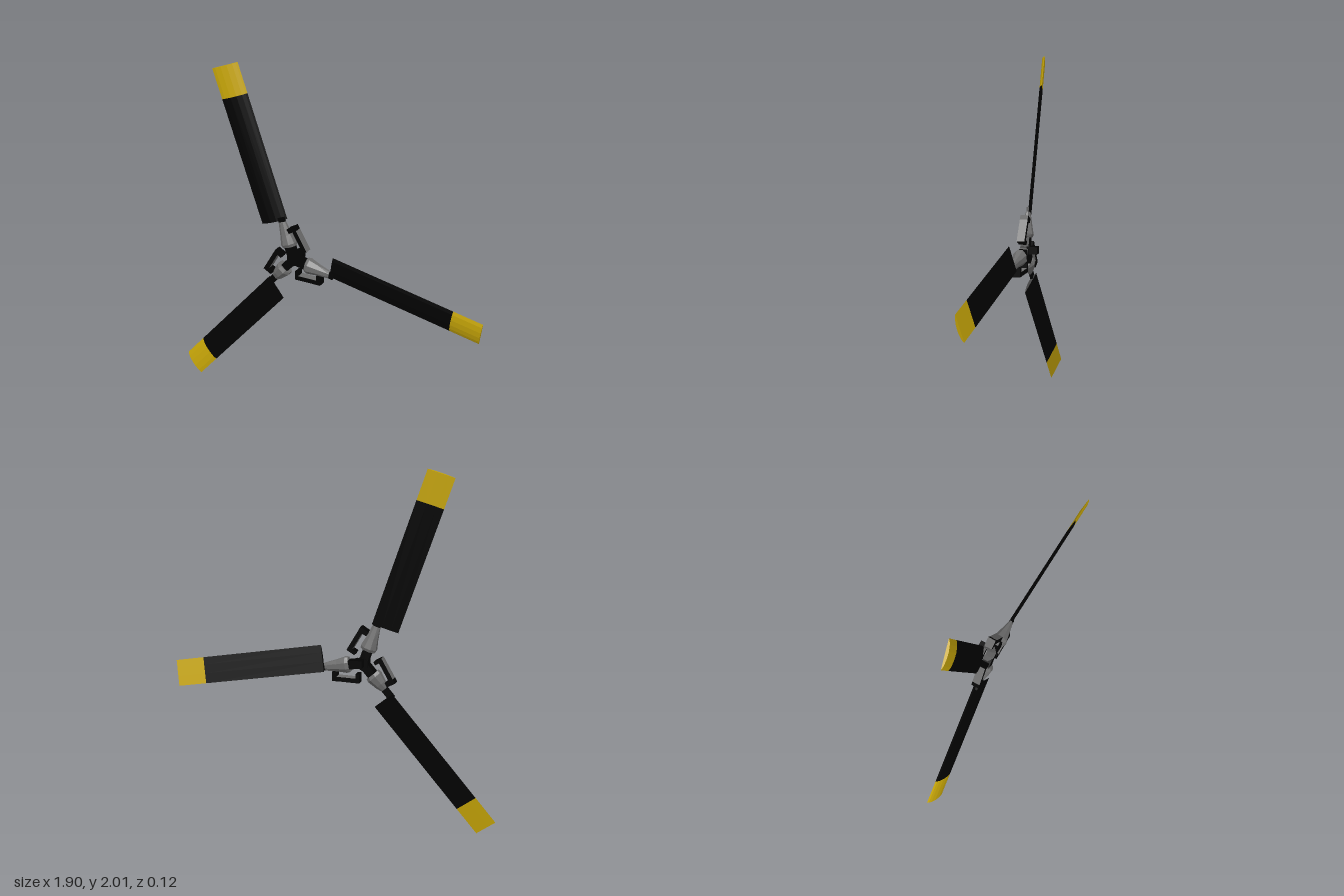
import * as THREE from 'three';

const black = new THREE.MeshStandardMaterial({ name: 'black', color: 0x020202 });
const grey = new THREE.MeshStandardMaterial({ name: 'steel grey', color: 0x6c6c6c });
const yellow = new THREE.MeshStandardMaterial({ name: 'tip yellow', color: 0xc6a508 });

function add(parent, name, geometry, material, x = 0, y = 0, z = 0) {
  const mesh = new THREE.Mesh(geometry, material);
  mesh.name = name;
  mesh.position.set(x, y, z);
  parent.add(mesh);
  return mesh;
}
const box = (x, y, z) => new THREE.BoxGeometry(x, y, z);

// Cambered blade section (chord, height), extruded outwards along +x
function bladePiece(from, to) {
  const shape = new THREE.Shape([
    [-0.025, 0], [0.03, 0.013], [0.08, 0.025], [0.121, 0.035],
    [0.1, 0.038], [0.065, 0.036], [0.03, 0.029], [0, 0.018], [-0.018, 0.008],
  ].map(([x, y]) => new THREE.Vector2(x, y)));
  const geometry = new THREE.ExtrudeGeometry(shape, { depth: to - from, bevelEnabled: false });
  geometry.applyMatrix4(new THREE.Matrix4().makeBasis(
    new THREE.Vector3(0, 1, 0), new THREE.Vector3(0, 0, 1), new THREE.Vector3(1, 0, 0)));
  return geometry.translate(from, 0, 0);
}

// Faceted grip: rings of [distance, half width, half depth]
function gripGeometry(end) {
  const rings = [[0.08, 0.041, 0.03], [0.098, 0.044, 0.039], [0.15, 0.033, 0.027], [end, 0.022, 0.011]];
  const geometry = new THREE.CylinderGeometry(1, 1, 3, 8, 3);
  geometry.rotateY(Math.PI / 8).rotateZ(-Math.PI / 2);
  const p = geometry.attributes.position;
  for (let i = 0; i < p.count; i++) {
    const [x, width, depth] = rings[Math.round(p.getX(i) + 1.5)];
    p.setXYZ(i, x, p.getY(i) * width * 1.08, p.getZ(i) * depth * 1.08);
  }
  const flat = geometry.toNonIndexed();
  flat.computeVertexNormals();
  return flat;
}

// C-shaped damper bracket beside each grip: black ends, grey long sides
function damper() {
  const group = new THREE.Group();
  group.name = 'damper';
  add(group, 'damperBar', box(0.131, 0.026, 0.045), [black, black, grey, grey, black, black], -0.013, -0.013, 0);
  add(group, 'damperOuterLug', box(0.026, 0.053, 0.045), black, 0.0655, 0, 0);
  add(group, 'damperInnerLug', box(0.02, 0.026, 0.045), black, -0.0685, 0.013, 0);
  group.position.set(0.111, -0.068, 0.018);
  group.rotation.z = 0.197;
  return group;
}

export function createModel() {
  const model = new THREE.Group();
  model.name = 'rotor';
  const rotor = new THREE.Group();
  rotor.name = 'rotorHead';
  rotor.position.set(-0.185, 0.925, 0);
  model.add(rotor);

  // Central hub and square drive shaft at the back
  const hub = new THREE.CylinderGeometry(0.038, 0.038, 0.05, 6).rotateX(Math.PI / 2);
  add(rotor, 'hub', hub, black, 0, 0, 0.015);
  add(rotor, 'driveShaft', box(0.042, 0.042, 0.06), black, 0.008, 0.011, -0.03);

  // Three arms with grip, damper and blade; the last grip is shorter
  [0.225, 0.225, 0.185].forEach((gripEnd, i) => {
    const arm = new THREE.Group();
    arm.name = 'bladeArm';
    arm.rotation.z = -0.197 + i * Math.PI * 2 / 3;
    rotor.add(arm);
    add(arm, 'hubArm', box(0.09, 0.048, 0.048), black, 0.045, 0, 0.017);
    add(arm, 'grip', gripGeometry(gripEnd), grey, 0, 0, 0.019);
    add(arm, 'bladeRoot', box(0.25 - gripEnd, 0.04, 0.014), black, (0.25 + gripEnd) / 2, 0, 0.019);
    arm.add(damper());
    add(arm, 'blade', bladePiece(0.232, 0.957), black);
    add(arm, 'bladeTip', bladePiece(0.957, 1.13), yellow);
  });
  return model;
}
